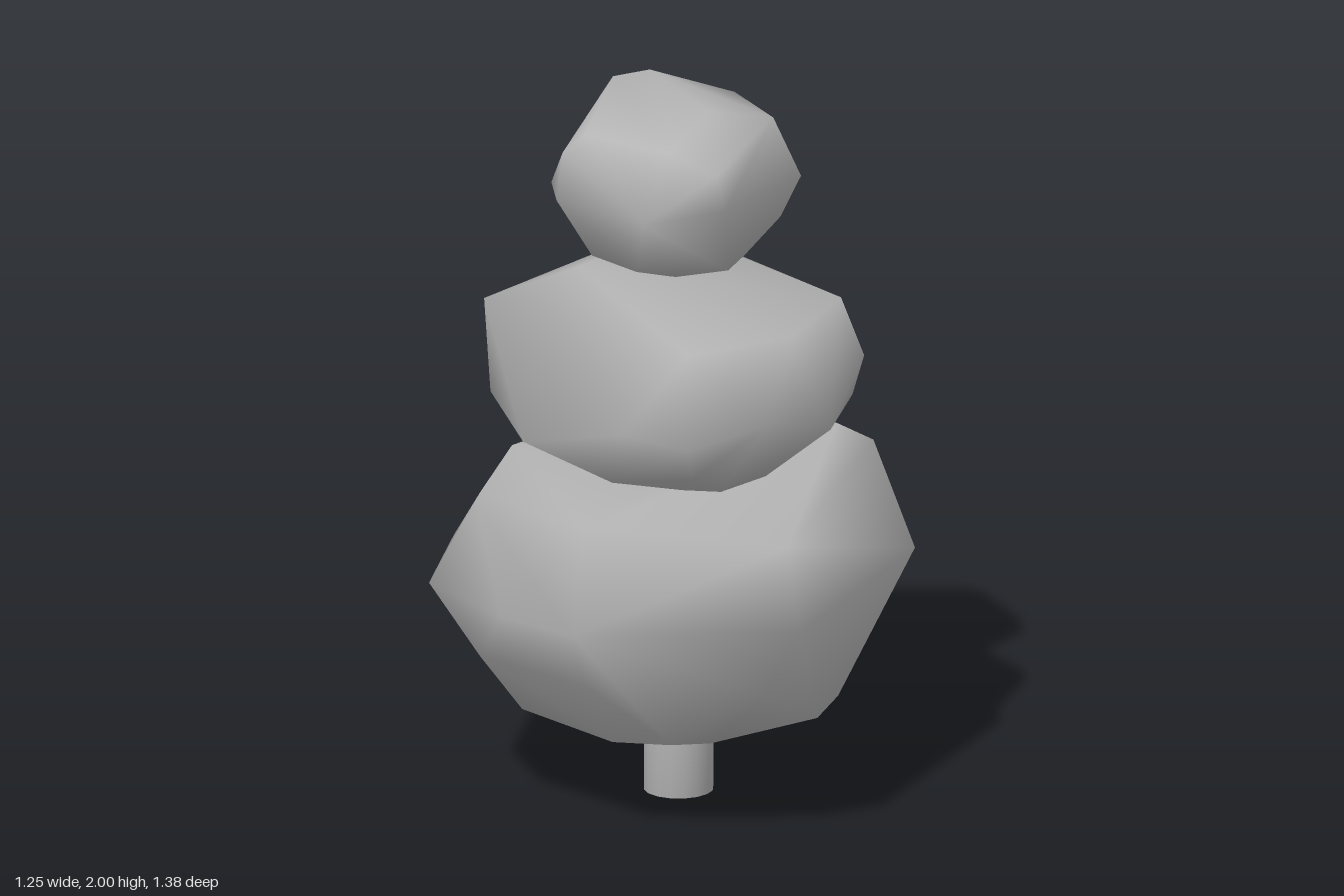
import * as THREE from 'three';
import { ConvexGeometry } from 'three/addons/geometries/ConvexGeometry.js';
import { mergeVertices } from 'three/addons/utils/BufferGeometryUtils.js';

// Mesh whose corners are welded, so every edge is shaded smooth
function smoothMesh(name, source, material) {
  source.deleteAttribute('normal');
  source.deleteAttribute('uv');
  const geometry = mergeVertices(source, 1e-4);
  geometry.computeVertexNormals();
  const mesh = new THREE.Mesh(geometry, material);
  mesh.name = name;
  return mesh;
}

// Faceted clump wrapped around a few corner points
function clump(name, corners, material) {
  const points = corners.map((c) => new THREE.Vector3(...c));
  return smoothMesh(name, new ConvexGeometry(points), material);
}

export function createModel() {
  const group = new THREE.Group();
  group.name = 'tree';
  const grey = new THREE.MeshStandardMaterial({ color: 0xb4b4b4 });
  grey.name = 'plain grey';

  // Trunk
  const trunk = smoothMesh('trunk', new THREE.CylinderGeometry(0.095, 0.095, 0.4, 16), grey);
  trunk.position.set(0.015, 0.2, -0.025);
  group.add(trunk);

  // Lower foliage: top rim, widest ring, lower slope, underside
  group.add(clump('lowerFoliage', [
    [-0.46, 0.92, -0.08], [-0.45, 0.92, 0.33], [-0.45, 0.9, 0.38], [-0.2, 0.92, 0.54], [-0.1, 0.92, 0.58],
    [0.44, 0.88, 0.49], [0.45, 0.88, -0.47], [0.34, 0.91, -0.5], [0.18, 0.92, -0.58], [-0.45, 0.87, -0.31],
    [-0.11, 0.65, 0.69], [0.48, 0.65, 0.52], [0.62, 0.66, -0.24], [0.49, 0.65, -0.52],
    [0.23, 0.65, -0.67], [-0.11, 0.65, -0.69], [-0.47, 0.65, -0.48], [-0.63, 0.64, -0.11],
    [-0.6, 0.64, 0.3], [-0.35, 0.63, 0.51],
    [-0.1, 0.47, 0.57], [-0.44, 0.47, 0.38], [-0.49, 0.45, -0.28], [0.52, 0.48, -0.37], [0.37, 0.45, 0.48],
    [-0.38, 0.26, -0.07], [-0.37, 0.26, 0.18], [-0.06, 0.27, 0.43], [0.1, 0.27, 0.42], [0.2, 0.27, 0.38],
    [0.34, 0.33, 0.35], [0.43, 0.27, 0.1], [0.44, 0.27, -0.1], [0.31, 0.26, -0.34], [0.02, 0.26, -0.46],
    [-0.36, 0.255, -0.18],
  ], grey));

  // Middle foliage
  group.add(clump('middleFoliage', [
    [-0.49, 1.4, 0.12], [-0.2, 1.55, 0.24], [-0.27, 1.44, 0.28], [0.17, 1.41, 0.51], [0.46, 1.42, -0.05],
    [0.4, 1.4, 0.25], [-0.1, 1.455, -0.41], [0.1, 1.44, -0.3], [-0.27, 1.41, -0.32],
    [0.51, 1.24, -0.11], [0.5, 1.14, 0.24], [0.37, 1.2, 0.42], [0.17, 1.14, 0.51],
    [-0.03, 1.15, 0.45], [-0.47, 1.14, 0.13], [-0.32, 1.22, -0.29], [-0.2, 1.25, -0.42],
    [0.06, 1.25, -0.49], [0.33, 1.25, -0.35],
    [0.48, 1.13, -0.1], [-0.36, 1.03, 0.21], [-0.33, 1.1, -0.21], [0.06, 1.1, -0.41], [0.16, 1.03, 0.42],
    [-0.32, 0.99, 0.05], [-0.2, 0.96, -0.14], [0.31, 0.98, 0.2], [0.21, 0.96, 0.3], [0.1, 0.95, 0.28],
    [0.1, 0.95, -0.12], [0.08, 0.98, -0.27], [-0.08, 0.98, 0.35],
  ], grey));

  // Upper foliage
  group.add(clump('upperFoliage', [
    [-0.09, 2, -0.13], [-0.18, 1.99, -0.08], [0.12, 1.945, 0.03], [0.26, 1.9, -0.1], [0.05, 1.89, 0.24],
    [0.18, 1.83, 0.22], [-0.2, 1.9, 0.16], [-0.265, 1.84, 0.15],
    [-0.16, 1.9, -0.26], [-0.21, 1.83, -0.28], [0.1, 1.89, -0.32],
    [0.33, 1.73, -0.13], [0.21, 1.74, 0.25], [0.01, 1.72, 0.36], [-0.27, 1.72, 0.2],
    [-0.32, 1.72, 0.05], [-0.2, 1.72, -0.32], [0.11, 1.73, -0.36],
    [0.28, 1.62, -0.1], [-0.1, 1.61, -0.3], [0.1, 1.61, -0.31],
    [0.2, 1.53, -0.02], [0.18, 1.52, 0.09], [0.04, 1.5, 0.12], [-0.05, 1.53, 0.19],
    [-0.2, 1.53, 0.08], [-0.18, 1.53, -0.1], [-0.06, 1.5, -0.12], [0, 1.53, -0.24],
  ], grey));

  return group;
}
